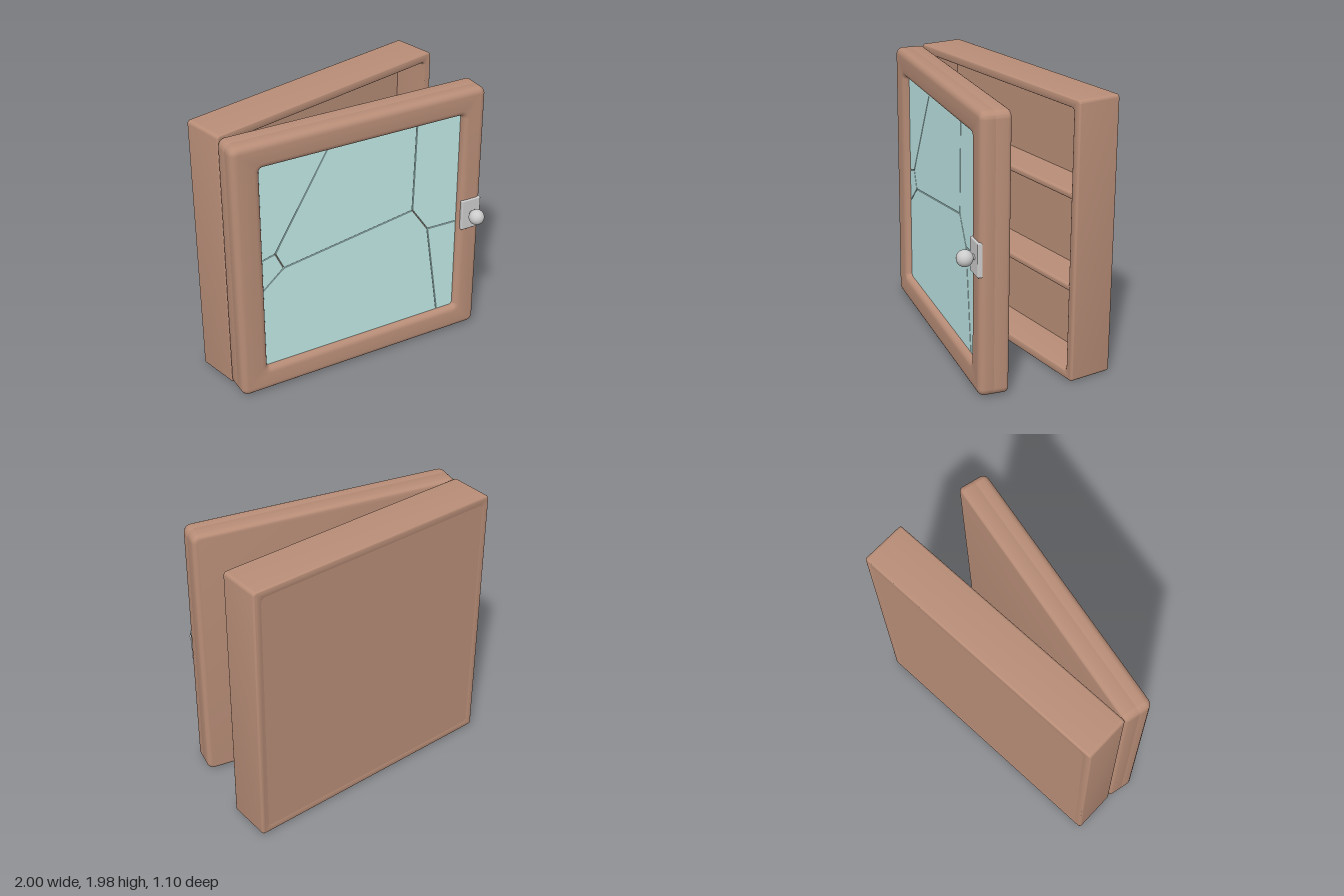
import * as THREE from 'three';
import { toCreasedNormals } from 'three/addons/utils/BufferGeometryUtils.js';
import { RoundedBoxGeometry } from 'three/addons/geometries/RoundedBoxGeometry.js';

const wood = new THREE.MeshStandardMaterial({ color: 0xb88d77 });
const glass = new THREE.MeshStandardMaterial({ color: 0xc0e8e6 });
const metal = new THREE.MeshStandardMaterial({ color: 0xcccccc });

function add(parent, name, geometry, material, x = 0, y = 0, z = 0) {
  const mesh = new THREE.Mesh(geometry, material);
  mesh.name = name;
  mesh.position.set(x, y, z);
  parent.add(mesh);
  return mesh;
}

// Rounded rectangle around (cx, 0), drawn into a Shape or Path
function roundRect(path, w, h, r, cx = 0) {
  const x0 = cx - w / 2, x1 = cx + w / 2, y = h / 2;
  path.moveTo(x0 + r, -y);
  path.lineTo(x1 - r, -y);
  path.absarc(x1 - r, -y + r, r, -Math.PI / 2, 0);
  path.lineTo(x1, y - r);
  path.absarc(x1 - r, y - r, r, 0, Math.PI / 2);
  path.lineTo(x0 + r, y);
  path.absarc(x0 + r, y - r, r, Math.PI / 2, Math.PI);
  path.lineTo(x0, -y + r);
  path.absarc(x0 + r, -y + r, r, Math.PI, Math.PI * 1.5);
  return path;
}

// Board from z0 to z1 with rounded edges and an optional opening
function boardGeometry(w, h, z0, z1, radius, bevel, opening) {
  const shape = roundRect(new THREE.Shape(), w, h, radius);
  if (opening) shape.holes.push(opening);
  const geo = new THREE.ExtrudeGeometry(shape, {
    depth: z1 - z0 - 2 * bevel, bevelThickness: bevel, bevelSize: bevel,
    bevelOffset: -bevel, bevelSegments: 5, curveSegments: 6,
  });
  geo.translate(0, 0, z0 + bevel);
  return toCreasedNormals(geo, 0.7);
}

function createCabinet() {
  const cabinet = new THREE.Group();
  cabinet.name = 'cabinet';
  cabinet.position.set(0.0215, 0.99, -0.39);
  const opening = roundRect(new THREE.Path(), 1.825, 1.85, 0.025);
  add(cabinet, 'cabinetWalls', boardGeometry(1.955, 1.98, -0.162, 0.162, 0.025, 0.015, opening), wood);
  add(cabinet, 'cabinetBack', new RoundedBoxGeometry(1.945, 1.97, 0.05, 2, 0.012), wood, 0, 0, -0.136);
  for (const y of [-0.32, 0.33]) {
    add(cabinet, 'shelf', new RoundedBoxGeometry(1.86, 0.05, 0.29, 3, 0.02), wood, 0, y, 0.005);
  }
  return cabinet;
}

// Broken mirror: each shard is a ring of named crack points
function createMirror() {
  const L = -0.775, R = 0.8, H = 0.8;
  const p = {
    tl: [L, H], tr: [R, H], bl: [L, -H], br: [R, -H],
    a: [-0.661, 0.10], b: [-0.601, -0.03], c: [0.419, 0.13], d: [0.549, -0.06],
    e: [L, 0.07], f: [L, -0.18], g: [-0.251, H], h: [0.439, H],
    i: [R, -0.065], j: [0.654, -H],
  };
  const shards = ['tl e a g', 'g a b c h', 'h c d i tr', 'd j br i', 'f bl j d c b', 'e f b a'];
  const mirror = new THREE.Group();
  mirror.name = 'mirror';
  for (const ring of shards) {
    const shape = new THREE.Shape(ring.split(' ').map((k) => new THREE.Vector2(...p[k])));
    const geo = new THREE.ExtrudeGeometry(shape, {
      depth: 0.016, bevelThickness: 0.001, bevelSize: 0.001, bevelOffset: -0.004, bevelSegments: 1,
    });
    add(mirror, 'mirrorShard', geo, glass);
  }
  return mirror;
}

function createDoor() {
  const door = new THREE.Group();
  door.name = 'door';
  door.position.set(-0.045, 0.99, 0.1);
  door.rotation.y = -0.24;
  const opening = roundRect(new THREE.Path(), 1.555, 1.59, 0.025, 0.0125);
  add(door, 'doorFrame', boardGeometry(1.935, 1.965, -0.04, 0.106, 0.055, 0.045, opening), wood);
  add(door, 'doorBack', boardGeometry(1.935, 1.965, -0.105, 0.04, 0.055, 0.03), wood);

  const mirror = createMirror();
  mirror.position.z = 0.042;
  door.add(mirror);

  // Handle
  const handle = new THREE.Group();
  handle.name = 'handle';
  handle.position.set(0.882, 0, 0.1);
  add(handle, 'handlePlate', new RoundedBoxGeometry(0.155, 0.24, 0.04, 2, 0.008), metal);
  const neck = new THREE.CylinderGeometry(0.02, 0.02, 0.04, 16).rotateX(Math.PI / 2);
  add(handle, 'knobNeck', neck, metal, 0.005, 0.003, 0.03);
  add(handle, 'knob', new THREE.SphereGeometry(0.057, 32, 20), metal, 0.005, 0.003, 0.083);
  door.add(handle);
  return door;
}

export function createModel() {
  const model = new THREE.Group();
  model.name = 'mirrorCabinet';
  model.add(createCabinet(), createDoor());
  return model;
}
